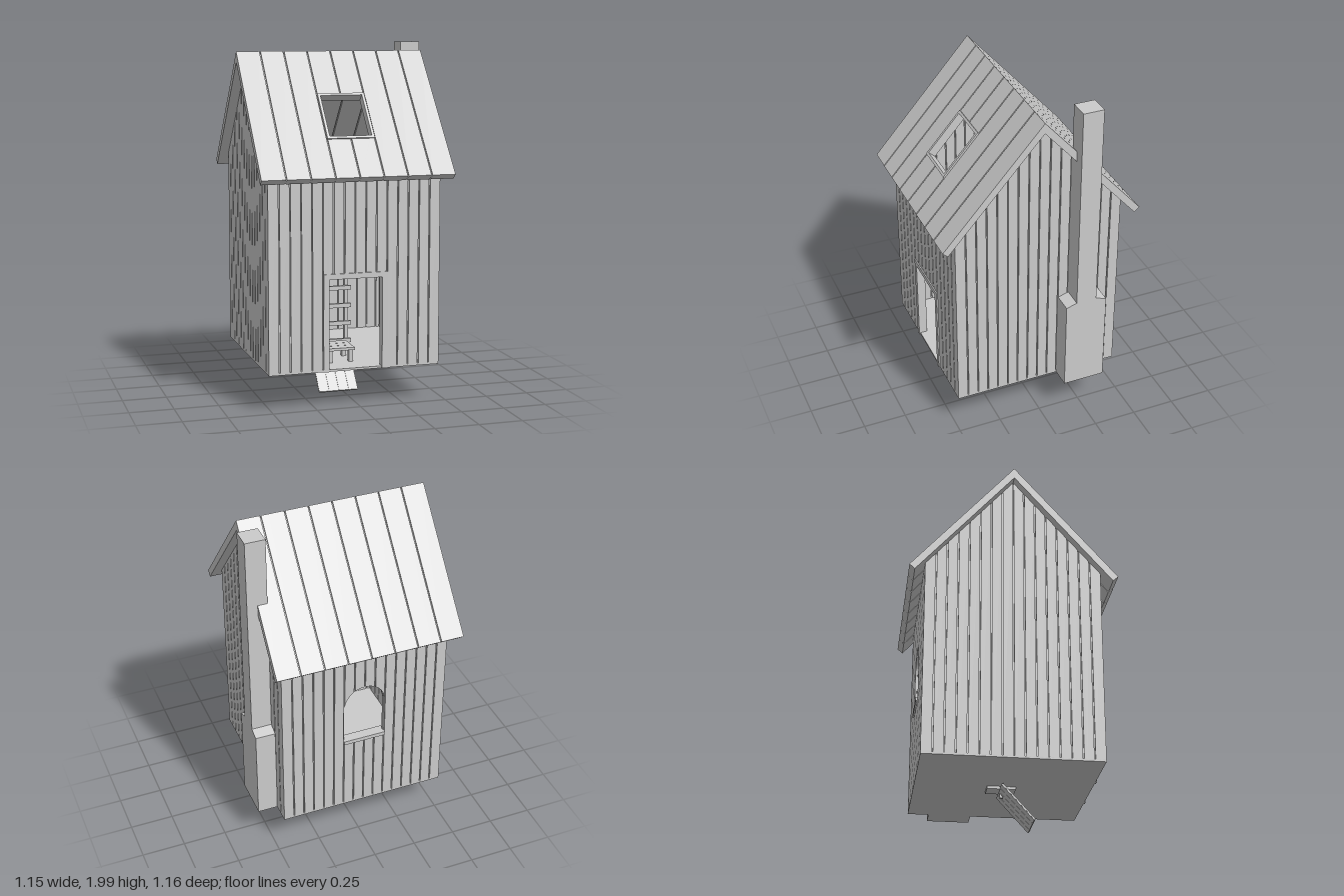
import * as THREE from 'three';
import { mergeGeometries } from 'three/addons/utils/BufferGeometryUtils.js';

const material = new THREE.MeshStandardMaterial({ color: 0xcccccc, flatShading: true });
const HALF = 0.49, BASE = 0.215, T = 0.04;
const RIDGE = 1.955, EAVE_Y = 1.295, EAVE_Z = 0.58;
const PITCH = Math.atan2(RIDGE - EAVE_Y, EAVE_Z);
const SLOPE = Math.hypot(EAVE_Z, RIDGE - EAVE_Y);

function mesh(name, geometry, parent) {
  const m = new THREE.Mesh(geometry, material);
  m.name = name;
  parent.add(m);
  return m;
}

// Box given by its minimum and maximum corners
function box(name, a, b, parent) {
  const g = new THREE.BoxGeometry(b[0] - a[0], b[1] - a[1], b[2] - a[2]);
  g.translate((a[0] + b[0]) / 2, (a[1] + b[1]) / 2, (a[2] + b[2]) / 2);
  return mesh(name, g, parent);
}

// One extruded strip between two height functions
function strip(x0, x1, low, high, z0, z1) {
  const n = 12, lower = [], upper = [];
  for (let i = 0; i <= n; i++) {
    const x = x0 + (x1 - x0) * i / n;
    lower.push(new THREE.Vector2(x, low(x)));
    upper.unshift(new THREE.Vector2(x, high(x)));
  }
  const g = new THREE.ExtrudeGeometry(new THREE.Shape([...lower, ...upper]), { depth: z1 - z0, bevelEnabled: false });
  return g.translate(0, 0, z0);
}

// Row of upright planks, cut around an optional opening
function planks(half, count, gap, bottom, top, hole, z0, z1) {
  const parts = [], w = 2 * half / count;
  for (let i = 0; i < count; i++) {
    const a = -half + i * w + (i ? gap / 2 : 0);
    const b = -half + (i + 1) * w - (i < count - 1 ? gap / 2 : 0);
    const edges = [a, b];
    if (hole) edges.push(...[hole.x0, hole.x1].filter(x => x > a && x < b));
    edges.sort((p, q) => p - q);
    for (let k = 0; k < edges.length - 1; k++) {
      const x0 = edges[k], x1 = edges[k + 1], mid = (x0 + x1) / 2;
      if (hole && mid > hole.x0 && mid < hole.x1) {
        if (hole.bottom > bottom) parts.push(strip(x0, x1, () => bottom, () => hole.bottom, z0, z1));
        parts.push(strip(x0, x1, hole.top, top, z0, z1));
      } else parts.push(strip(x0, x1, () => bottom, top, z0, z1));
    }
  }
  return parts;
}

// Grooved panel: planks on both faces of a thin core; outer face at z = 0
function panel(half, count, bottom, top, hole) {
  return mergeGeometries([
    ...planks(half, count, 0.007, bottom, top, hole, -T, 0),
    ...planks(half, 2, 0, bottom, top, hole, -T + 0.01, -0.01),
  ]);
}

// Flat rectangular frame around an opening
function frame(x0, x1, y0, y1, border, depth, openBottom) {
  const s = new THREE.Shape();
  const rect = (p, a, b, c, d) => p.moveTo(a, c).lineTo(b, c).lineTo(b, d).lineTo(a, d).closePath();
  if (openBottom) {
    s.moveTo(x0, y0).lineTo(x0 + border, y0).lineTo(x0 + border, y1 - border).lineTo(x1 - border, y1 - border)
      .lineTo(x1 - border, y0).lineTo(x1, y0).lineTo(x1, y1).lineTo(x0, y1).closePath();
  } else {
    rect(s, x0, x1, y0, y1);
    const h = new THREE.Path();
    rect(h, x0 + border, x1 - border, y0 + border, y1 - border);
    s.holes.push(h);
  }
  return new THREE.ExtrudeGeometry(s, { depth, bevelEnabled: false });
}

export function createModel() {
  const model = new THREE.Group();
  model.name = 'cottage';
  const house = new THREE.Group();
  house.name = 'house';
  house.position.x = -0.03;
  model.add(house);

  // Walls
  const wallTop = () => 1.337;
  const gableTop = x => RIDGE - T / Math.cos(PITCH) - Math.tan(PITCH) * Math.abs(x);
  const door = { x0: -0.15, x1: 0.155, bottom: BASE, top: () => 0.73 };
  const arch = { x0: -0.12, x1: 0.12, bottom: 0.69, top: x => 0.92 + Math.sqrt(Math.max(0, 0.0144 - x * x)) };
  mesh('frontWall', panel(HALF, 16, BASE, wallTop, door), house).position.z = HALF;
  const back = mesh('backWall', panel(HALF, 16, BASE, wallTop, arch), house);
  back.rotation.y = Math.PI;
  back.position.z = -HALF;
  for (const s of [1, -1]) {
    const gable = mesh(s > 0 ? 'leftGable' : 'rightGable', panel(HALF, 16, BASE, gableTop), house);
    gable.rotation.y = s * Math.PI / 2;
    gable.position.x = s * HALF;
  }
  box('floor', [-HALF, BASE, -HALF], [HALF, BASE + 0.012, HALF], house);

  // Door frame and window sill
  mesh('doorFrame', frame(-0.18, 0.185, BASE, 0.76, 0.03, 0.05, true), house).position.z = 0.447;
  box('windowSill', [-0.125, 0.667, -0.5], [0.125, 0.69, -0.44], house);

  // Roof slopes, mitred at the ridge, with a skylight in the front one
  const skylight = { x0: -0.12, x1: 0.12, bottom: SLOPE - 0.4 / Math.cos(PITCH), top: () => SLOPE - 0.215 / Math.cos(PITCH) };
  for (const s of [1, -1]) {
    const side = new THREE.Group();
    side.name = s > 0 ? 'frontRoof' : 'backRoof';
    side.rotation.y = s > 0 ? 0 : Math.PI;
    house.add(side);
    const slope = new THREE.Group();
    slope.position.set(0, EAVE_Y, EAVE_Z);
    slope.rotation.x = PITCH - Math.PI / 2;
    side.add(slope);
    const g = panel(0.545, 8, 0, () => SLOPE, s > 0 ? skylight : null);
    const p = g.attributes.position;
    for (let i = 0; i < p.count; i++)
      if (p.getY(i) > SLOPE - 1e-4) p.setY(i, SLOPE + p.getZ(i) * Math.tan(PITCH));
    g.computeVertexNormals();
    mesh('roofPlanks', g, slope);
    if (s > 0) mesh('skylightFrame', frame(-0.135, 0.135, skylight.bottom - 0.015, skylight.top() + 0.015, 0.015, 0.05), slope).position.z = -0.042;
  }

  // Chimney: wide base with sloping shoulders and a tall stack
  const outline = [[0.125, BASE], [0.125, 0.765], [0.187, 0.785], [0.187, 2], [0.307, 2], [0.307, 0.785], [0.37, 0.765], [0.37, BASE]];
  const chimney = new THREE.ExtrudeGeometry(
    new THREE.Shape(outline.map(q => new THREE.Vector2(q[0], q[1]))), { depth: 0.115, bevelEnabled: false });
  chimney.rotateY(Math.PI / 2).translate(0.46, 0, 0);
  mesh('chimney', chimney, model);

  // Plank ramp hinged beneath the floor
  const ramp = new THREE.Group();
  ramp.name = 'ramp';
  ramp.position.set(-0.0275, 0.21, -0.01);
  ramp.rotation.x = Math.atan2(0.197, 0.178);
  model.add(ramp);
  for (let i = 0; i < 4; i++) {
    const x = -0.1175 + i * 0.05875;
    box('rampPlank', [x + 0.002, -0.012, 0], [x + 0.05675, 0, 0.265], ramp);
  }
  box('rampCore', [-0.117, -0.009, 0.002], [0.117, -0.003, 0.263], ramp);
  box('hingePlate', [-0.075, 0.2, -0.09], [0.015, 0.216, 0.07], model);
  box('hingePeg', [-0.015, 0.17, -0.012], [0.005, 0.21, 0.004], model);

  // Ladder just inside the doorway
  const ladder = new THREE.Group();
  ladder.name = 'ladder';
  model.add(ladder);
  for (const x of [-0.095, 0.045]) box('ladderRail', [x - 0.011, BASE, 0.05], [x + 0.011, 0.75, 0.075], ladder);
  for (let i = 0; i < 5; i++) {
    const y = 0.285 + i * 0.104;
    box('ladderRung', [-0.12, y - 0.012, 0.07], [0.07, y + 0.012, 0.09], ladder);
  }

  // Low plank bench under the skylight
  const bench = new THREE.Group();
  bench.name = 'bench';
  model.add(bench);
  for (let i = 0; i < 3; i++) box('benchPlank', [-0.15, 0.295, 0.18 + i * 0.06], [0.01, 0.31, 0.237 + i * 0.06], bench);
  for (const x of [-0.13, -0.01]) for (const z of [0.2, 0.335])
    box('benchLeg', [x - 0.012, BASE, z - 0.012], [x + 0.012, 0.3, z + 0.012], bench);

  return model;
}
